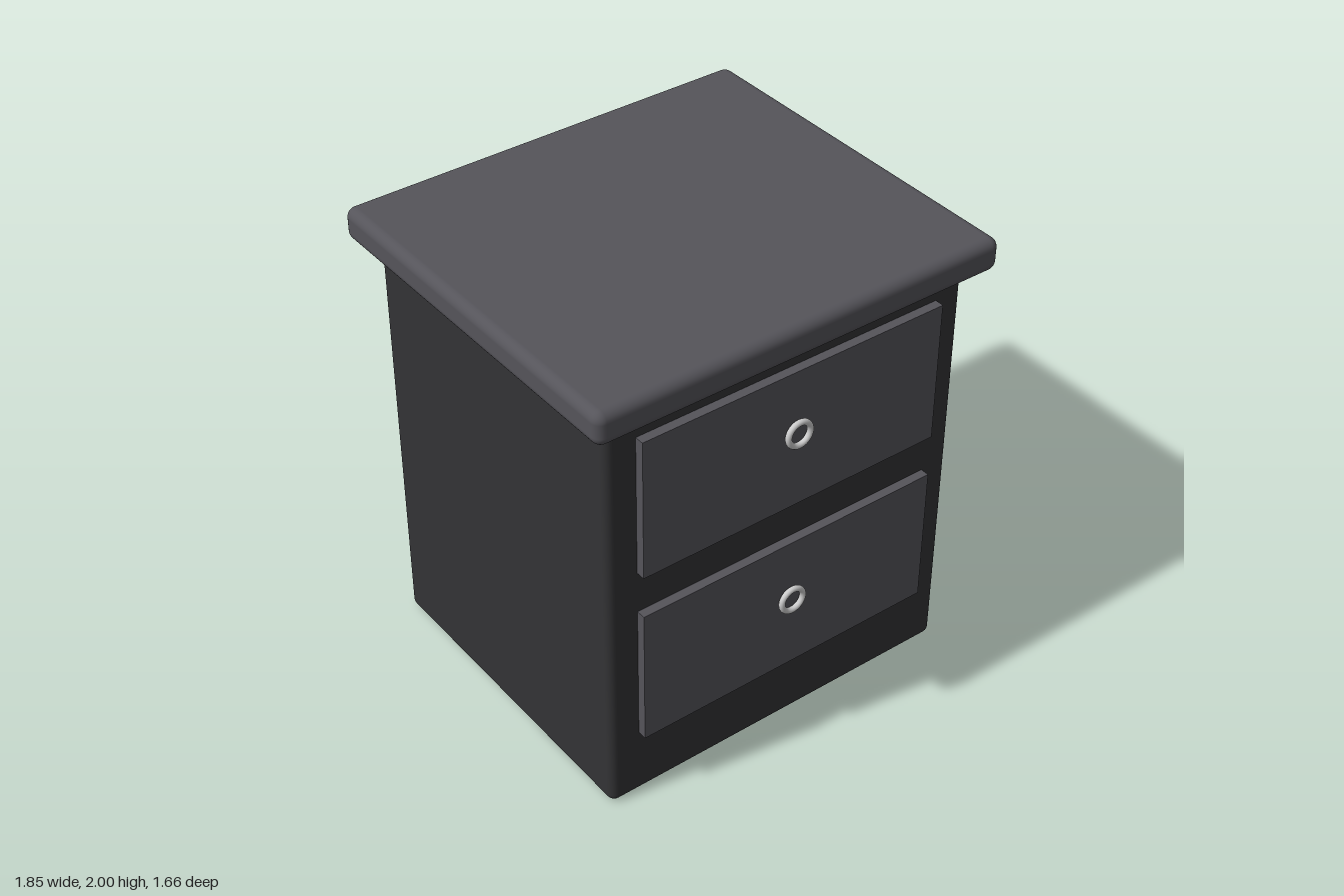
import * as THREE from 'three';
import { RoundedBoxGeometry } from 'three/addons/geometries/RoundedBoxGeometry.js';

export function createModel() {
  const group = new THREE.Group();
  const bodyMat = new THREE.MeshStandardMaterial({ color: 0x333335 });
  const panelMat = new THREE.MeshStandardMaterial({ color: 0x55545a });
  const ringMat = new THREE.MeshStandardMaterial({ color: 0xcccccc });

  const add = (parent, name, geometry, material, y, z) => {
    const mesh = new THREE.Mesh(geometry, material);
    mesh.name = name;
    mesh.position.set(0, y, z);
    parent.add(mesh);
  };

  // Carcass and overhanging top with softened edges
  add(group, 'cabinetBody', new RoundedBoxGeometry(1.665, 1.855, 1.48, 4, 0.035), bodyMat, 0.9275, 0);
  add(group, 'tableTop', new RoundedBoxGeometry(1.85, 0.142, 1.665, 4, 0.042), panelMat, 1.929, 0);

  // Two drawers, each a flat front with a ring pull
  const drawerFront = new THREE.BoxGeometry(1.4, 0.626, 0.08);
  const ringPull = new THREE.TorusGeometry(0.052, 0.013, 16, 48);
  [['lowerDrawer', 0.633], ['upperDrawer', 1.448]].forEach(([name, y]) => {
    const drawer = new THREE.Group();
    drawer.name = name;
    drawer.position.y = y;
    add(drawer, 'drawerFront', drawerFront, panelMat, 0, 0.74);
    add(drawer, 'ringPull', ringPull, ringMat, 0.04, 0.8);
    group.add(drawer);
  });

  return group;
}
